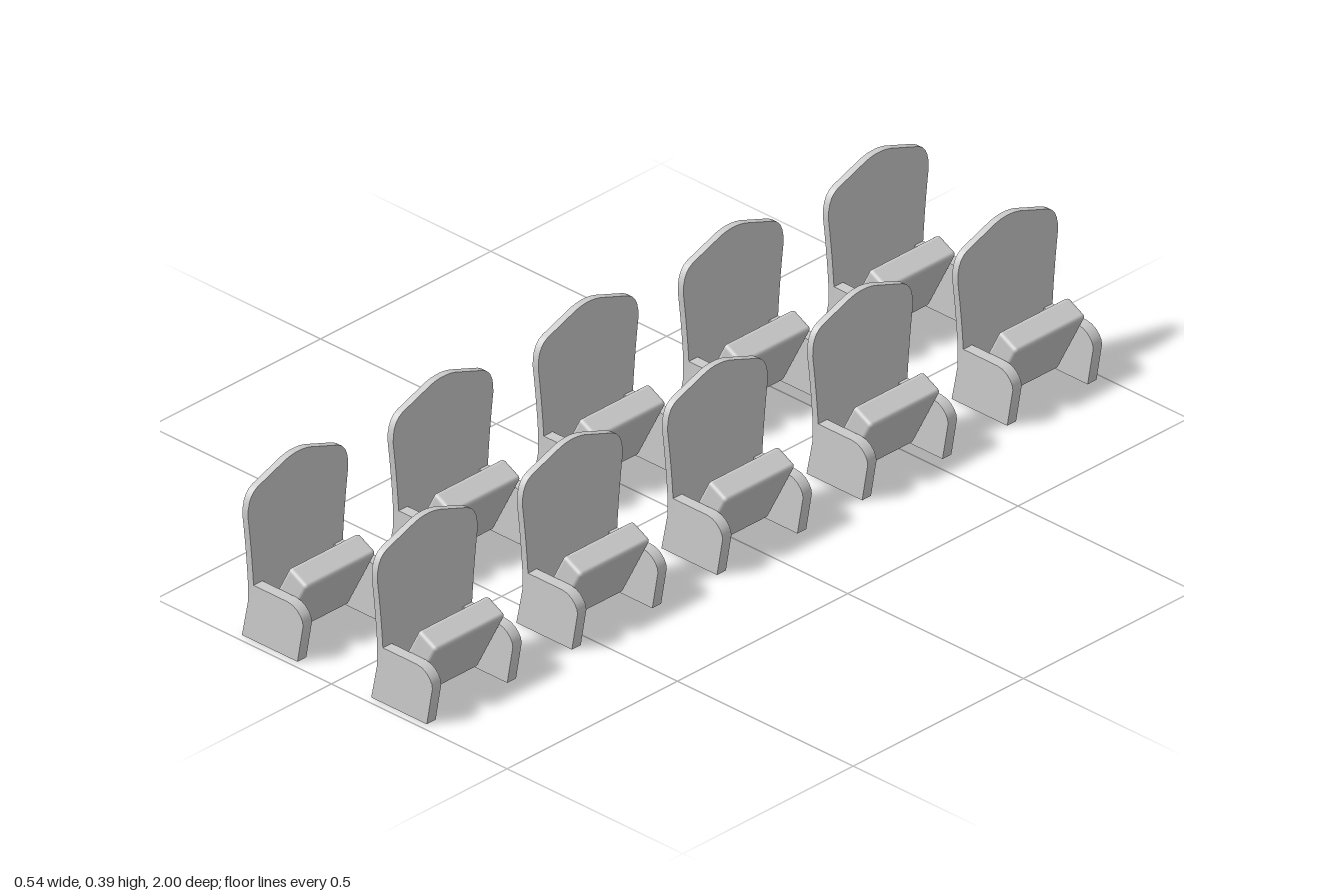
import * as THREE from 'three';
import { toCreasedNormals } from 'three/addons/utils/BufferGeometryUtils.js';
import { RoundedBoxGeometry } from 'three/addons/geometries/RoundedBoxGeometry.js';

const material = new THREE.MeshStandardMaterial({ color: 0xcccccc });
const BACK_X = -0.255, THICK = 0.016, LEAN = 0.2, KINK_Y = 0.085;
const HALF_W = 0.131, ARM_T = 0.026;

const extrude = (shape, depth) => toCreasedNormals(
  new THREE.ExtrudeGeometry(shape, { depth, bevelEnabled: false, curveSegments: 5 }), 0.6);

// Tall backrest with a waist, wide shoulders and a peaked top
function backrestGeometry() {
  const s = new THREE.Shape();
  s.moveTo(-HALF_W, KINK_Y);
  s.lineTo(HALF_W, KINK_Y);
  s.lineTo(HALF_W, 0.13);
  s.quadraticCurveTo(0.136, 0.21, 0.147, 0.295);
  s.quadraticCurveTo(0.149, 0.345, 0.118, 0.358);
  s.lineTo(0.035, 0.388);
  s.quadraticCurveTo(0, 0.398, -0.035, 0.388);
  s.lineTo(-0.118, 0.358);
  s.quadraticCurveTo(-0.149, 0.345, -0.147, 0.295);
  s.quadraticCurveTo(-0.136, 0.21, -HALF_W, 0.13);
  return extrude(s, THICK).rotateY(Math.PI / 2).translate(BACK_X, 0, 0);
}

// Lower back panel, slanting backwards towards the floor
function lowerBackGeometry() {
  const s = new THREE.Shape();
  const foot = BACK_X - LEAN * KINK_Y;
  s.moveTo(foot, 0);
  s.lineTo(foot + THICK, 0);
  s.lineTo(BACK_X + THICK, KINK_Y);
  s.lineTo(BACK_X, KINK_Y);
  return extrude(s, 2 * HALF_W).translate(0, 0, -HALF_W);
}

// Solid side panel that doubles as armrest, rounded at the upper front
function armGeometry() {
  const s = new THREE.Shape();
  const front = BACK_X + THICK;
  s.moveTo(front - LEAN * KINK_Y, 0);
  s.lineTo(-0.114, 0);
  s.lineTo(-0.098, 0.09);
  s.bezierCurveTo(-0.097, 0.105, -0.116, 0.13, -0.142, 0.13);
  s.lineTo(front, 0.13);
  s.lineTo(front, KINK_Y);
  return extrude(s, ARM_T);
}

// Seat cushion folded up between the side panels
function cushionGeometry() {
  return new RoundedBoxGeometry(0.058, 0.175, 0.206, 3, 0.009)
    .rotateZ(-0.477).translate(-0.18, 0.098, 0);
}

export function createModel() {
  const model = new THREE.Group();
  model.name = 'seatRows';
  const parts = {
    backrest: backrestGeometry(),
    lowerBack: lowerBackGeometry(),
    leftArm: armGeometry().translate(0, 0, HALF_W - ARM_T),
    rightArm: armGeometry().translate(0, 0, -HALF_W),
    seatCushion: cushionGeometry(),
  };

  // Two rows of five seats, all facing +x
  for (let row = 0; row < 2; row++) {
    for (let i = -2; i <= 2; i++) {
      const seat = new THREE.Group();
      seat.name = `seat_${row + 1}_${i + 3}`;
      for (const [name, geometry] of Object.entries(parts)) {
        const mesh = new THREE.Mesh(geometry, material);
        mesh.name = name;
        seat.add(mesh);
      }
      seat.position.set(row * 0.368 + 0.001, 0, i * 0.426);
      model.add(seat);
    }
  }
  return model;
}
